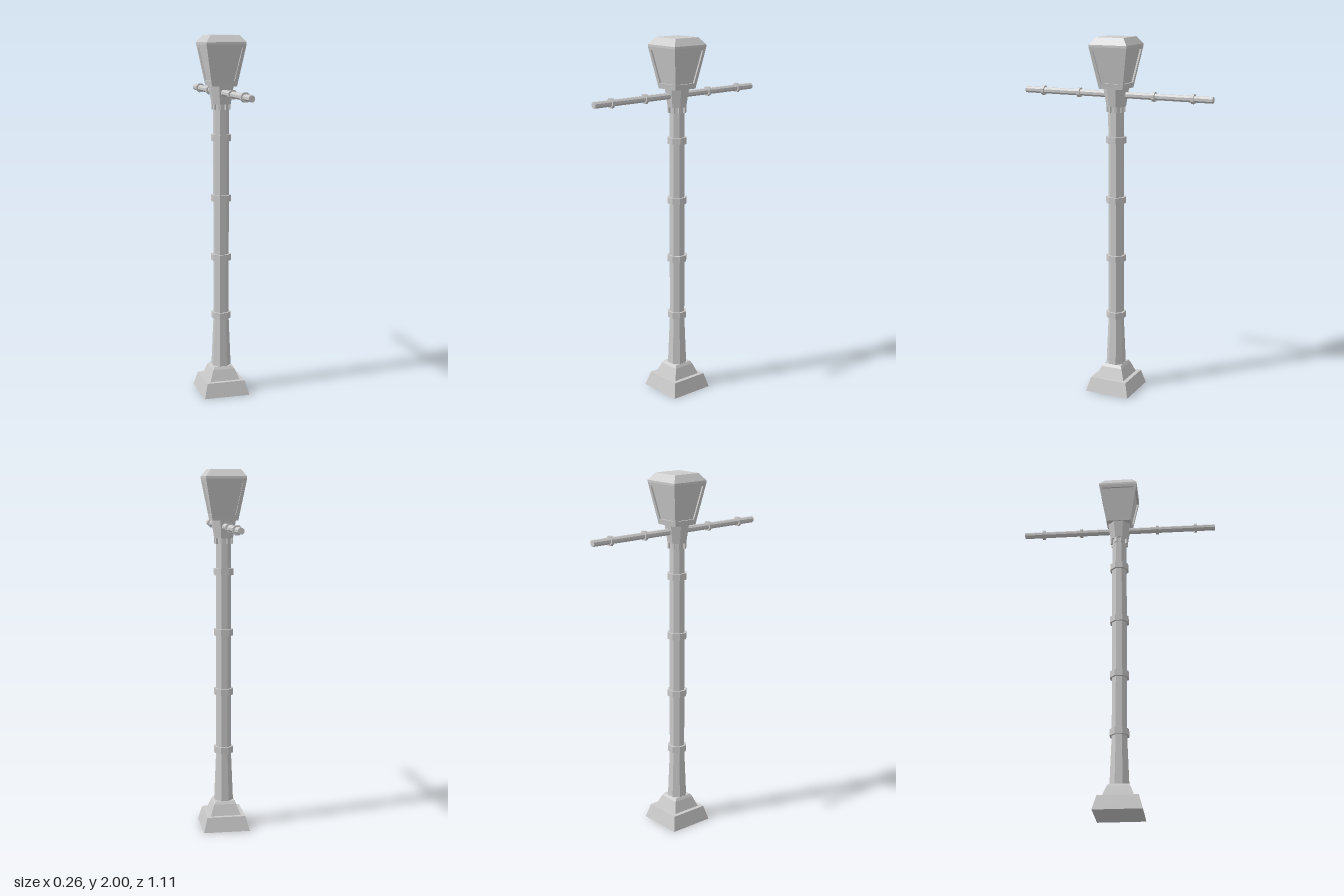
import * as THREE from 'three';

const material = new THREE.MeshStandardMaterial({ color: 0xcccccc, flatShading: true });

function add(parent, name, geometry) {
  const mesh = new THREE.Mesh(geometry, material);
  mesh.name = name;
  parent.add(mesh);
  return mesh;
}

// Regular prism or frustum with a flat side facing +z; sizes are half-widths across flats
function frustum(sides, bottom, top, y0, y1) {
  const k = 1 / Math.cos(Math.PI / sides);
  const g = new THREE.CylinderGeometry(top * k, bottom * k, y1 - y0, sides);
  g.rotateY(Math.PI / sides);
  g.translate(0, (y0 + y1) / 2, 0);
  return g;
}

// One lantern side: sloped frame around a recessed pane, facing +z
function lanternSide() {
  const y0 = 1.74, y1 = 1.95, w0 = 0.072, w1 = 0.11, recess = 0.01;
  const point = (x, y, d) => [x, y, w0 + (w1 - w0) * (y - y0) / (y1 - y0) - d];
  const loop = (bw, by, tw, ty, d) =>
    [point(-bw, by, d), point(bw, by, d), point(tw, ty, d), point(-tw, ty, d)];
  const loops = [
    loop(w0, y0, w1, y1, 0),
    loop(0.055, 1.757, 0.09, 1.933, 0),
    loop(0.055, 1.757, 0.09, 1.933, recess),
  ];
  const pos = [];
  const quad = (a, b, c, d) => pos.push(...a, ...b, ...c, ...a, ...c, ...d);
  for (let l = 0; l < 2; l++) {
    for (let i = 0; i < 4; i++) {
      const j = (i + 1) % 4;
      quad(loops[l][i], loops[l][j], loops[l + 1][j], loops[l + 1][i]);
    }
  }
  quad(...loops[2]);
  const g = new THREE.BufferGeometry();
  g.setAttribute('position', new THREE.Float32BufferAttribute(pos, 3));
  g.computeVertexNormals();
  return g;
}

export function createModel() {
  const model = new THREE.Group();
  model.name = 'streetLamp';

  // Stepped foot
  const foot = new THREE.Group();
  foot.name = 'foot';
  add(foot, 'footLowerStep', frustum(4, 0.13, 0.108, 0, 0.08));
  add(foot, 'footUpperStep', frustum(4, 0.085, 0.062, 0.08, 0.14));
  add(foot, 'footCap', frustum(4, 0.062, 0.052, 0.14, 0.155));
  model.add(foot);

  // Octagonal post with bands
  const post = new THREE.Group();
  post.name = 'post';
  add(post, 'postTaper', frustum(8, 0.051, 0.04, 0.15, 0.43));
  add(post, 'postShaft', frustum(8, 0.04, 0.04, 0.43, 1.65));
  for (const y of [0.447, 0.78, 1.113, 1.447]) {
    add(post, 'postBand', frustum(8, 0.051, 0.051, y - 0.018, y + 0.018));
  }
  model.add(post);

  // Flared collar with teeth hanging from its corners
  const collar = new THREE.Group();
  collar.name = 'collar';
  add(collar, 'collarFlare', frustum(8, 0.049, 0.064, 1.63, 1.73));
  for (let i = 0; i < 8; i++) {
    const tooth = new THREE.BoxGeometry(0.014, 0.035, 0.012);
    tooth.translate(0, 1.617, 0.045);
    tooth.rotateY((i + 0.5) * Math.PI / 4);
    add(collar, 'collarTooth', tooth);
  }
  model.add(collar);

  // Cross arms, front and back, each with two rings
  for (const side of [1, -1]) {
    const arm = new THREE.Group();
    arm.name = side > 0 ? 'frontArm' : 'backArm';
    add(arm, 'armRod', frustum(8, 0.0165, 0.0165, 0.02, 0.555));
    for (const d of [0.222, 0.444]) {
      add(arm, 'armRing', frustum(8, 0.025, 0.025, d - 0.008, d + 0.008));
    }
    arm.rotation.x = side * Math.PI / 2;
    arm.position.y = 1.693;
    model.add(arm);
  }

  // Lantern head
  const lantern = new THREE.Group();
  lantern.name = 'lantern';
  add(lantern, 'lanternFloor', frustum(4, 0.07, 0.072, 1.728, 1.74));
  for (let i = 0; i < 4; i++) {
    add(lantern, 'lanternSide', lanternSide()).rotation.y = i * Math.PI / 2;
  }
  add(lantern, 'lanternRim', frustum(4, 0.11, 0.11, 1.95, 1.962));
  add(lantern, 'lanternRoof', frustum(4, 0.11, 0.08, 1.962, 2));
  model.add(lantern);

  return model;
}
